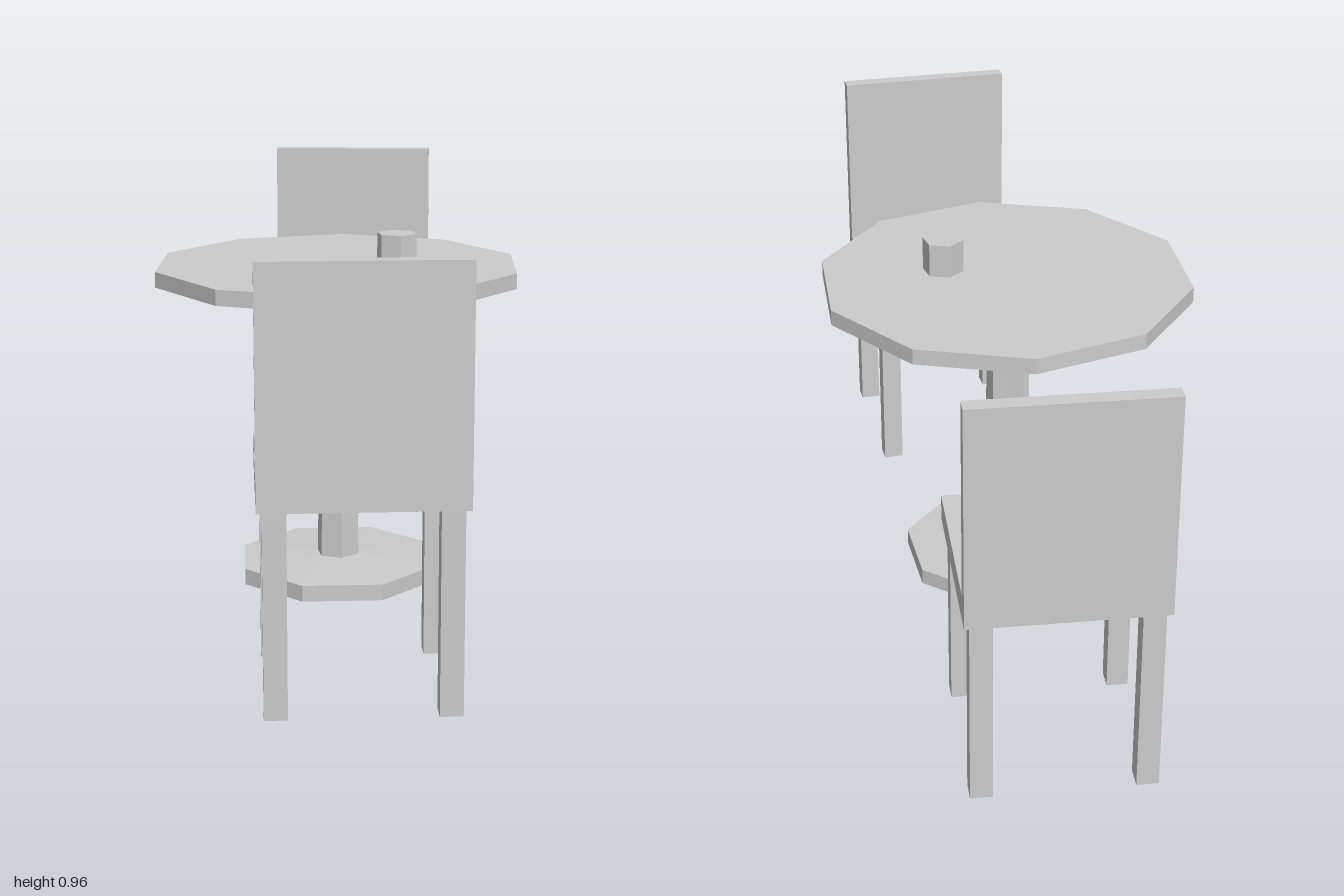
import * as THREE from 'three';

const material = new THREE.MeshStandardMaterial({ color: 0xcccccc, flatShading: true });

function addMesh(parent, name, geometry, x = 0, y = 0, z = 0) {
  const mesh = new THREE.Mesh(geometry, material);
  mesh.name = name;
  mesh.position.set(x, y, z);
  parent.add(mesh);
  return mesh;
}

// Upright prism from y0 to y1 with a corner pointing along +x
function addPrism(parent, name, sides, rBottom, rTop, y0, y1, open = false) {
  const geometry = new THREE.CylinderGeometry(rTop, rBottom, y1 - y0, sides, 1, open, Math.PI / 2);
  return addMesh(parent, name, geometry, 0, (y0 + y1) / 2, 0);
}

function createTable() {
  const table = new THREE.Group();
  table.name = 'table';
  addPrism(table, 'tableBase', 8, 0.255, 0.255, 0, 0.04);
  addPrism(table, 'tableBaseSlope', 8, 0.255, 0, 0.04, 0.053, true);
  addPrism(table, 'tableColumn', 6, 0.055, 0.042, 0.04, 0.757);
  addPrism(table, 'tableTop', 10, 0.455, 0.455, 0.755, 0.793);
  const cup = addPrism(table, 'cup', 6, 0.05, 0.05, 0.793, 0.875);
  cup.position.x = 0.153;
  return table;
}

// Chair facing local +z
function createChair(name) {
  const chair = new THREE.Group();
  chair.name = name;
  const half = 0.22, backThickness = 0.038;

  // Seat and backrest share one L-shaped side profile
  const profile = new THREE.Shape([
    [-half, 0.45], [half, 0.45], [half, 0.51],
    [-half + backThickness, 0.51], [-half + backThickness, 0.965], [-half, 0.965],
  ].map(([z, y]) => new THREE.Vector2(z, y)));
  const body = new THREE.ExtrudeGeometry(profile, { depth: half * 2, bevelEnabled: false });
  body.translate(0, 0, -half).rotateY(-Math.PI / 2);
  addMesh(chair, 'seatAndBack', body);

  for (const x of [-0.183, 0.183]) {
    for (const z of [-0.183, 0.183]) {
      addMesh(chair, z > 0 ? 'frontLeg' : 'backLeg', new THREE.BoxGeometry(0.05, 0.45, 0.05), x, 0.225, z);
    }
  }
  return chair;
}

export function createModel() {
  const model = new THREE.Group();
  model.name = 'tableWithChairs';

  const table = createTable();
  table.position.set(-0.045, 0, 0.004);

  const rearChair = createChair('rearChair');
  rearChair.position.set(-0.27, 0, -0.725);
  rearChair.rotation.y = 0.295;

  const frontChair = createChair('frontChair');
  frontChair.position.set(0.253, 0, 0.705);
  frontChair.rotation.y = Math.PI + 0.397;

  model.add(table, rearChair, frontChair);
  return model;
}
